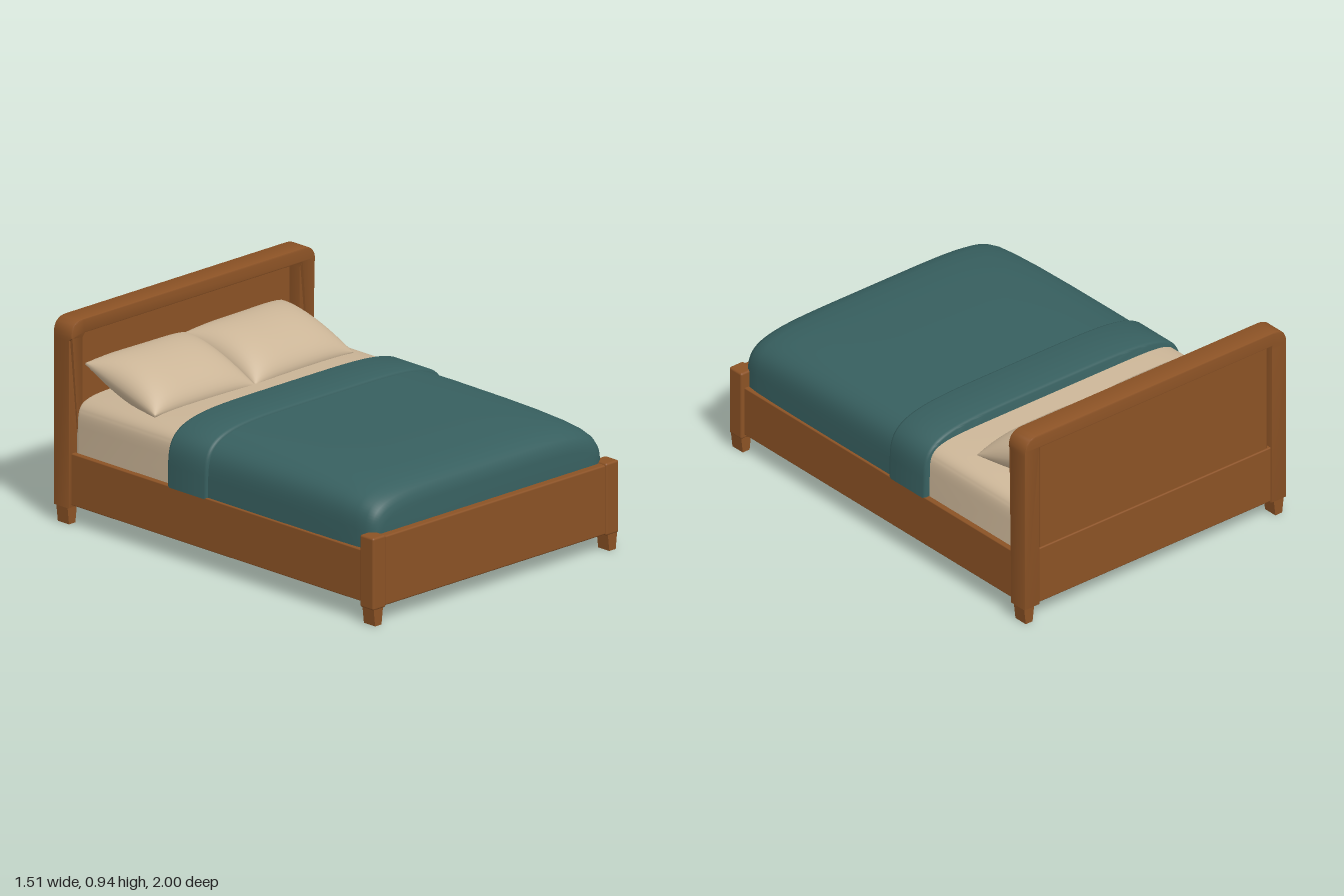
import * as THREE from 'three';
import { toCreasedNormals, mergeVertices } from 'three/addons/utils/BufferGeometryUtils.js';
import { RoundedBoxGeometry } from 'three/addons/geometries/RoundedBoxGeometry.js';

const material = (name, color) => Object.assign(new THREE.MeshStandardMaterial({ color }), { name });

// Rounded block given by its extents on each axis
function block(x0, x1, y0, y1, z0, z1, r = 0.008) {
  return new RoundedBoxGeometry(x1 - x0, y1 - y0, z1 - z0, 2, r)
    .translate((x0 + x1) / 2, (y0 + y1) / 2, (z0 + z1) / 2);
}

// Soft slab: superellipse arches lofted along z; stations are [z, half width, top]
function softSlab(stations, y0, n) {
  const N = 48, pos = [], index = [];
  for (const [z, w, top] of stations) {
    for (let j = 0; j <= N; j++) {
      const t = (j / N) * Math.PI, c = Math.cos(t), s = Math.max(0, Math.sin(t));
      pos.push(w * Math.sign(c) * Math.abs(c) ** (2 / n), y0 + (top - y0) * s ** (2 / n), z);
    }
  }
  const M = N + 1, last = (stations.length - 1) * M;
  for (let i = 0; i < stations.length - 1; i++) {
    for (let j = 0; j < M; j++) {
      const a = i * M + j, b = i * M + ((j + 1) % M);
      index.push(a, b, a + M, b, b + M, a + M);
    }
  }
  for (let j = 1; j < N; j++) index.push(0, j + 1, j, last, last + j, last + j + 1);
  const g = new THREE.BufferGeometry();
  g.setAttribute('position', new THREE.Float32BufferAttribute(pos, 3));
  g.setIndex(index);
  return toCreasedNormals(g, 0.9);
}

// Puffed cushion with thin edges and slightly pulled corners
function cushion(width, thick, depth) {
  let g = new THREE.BoxGeometry(2, 2, 2, 28, 1, 24);
  const p = g.attributes.position;
  for (let i = 0; i < p.count; i++) {
    const u = Math.sin(p.getX(i) * Math.PI / 2), v = Math.sin(p.getZ(i) * Math.PI / 2);
    const puff = (Math.max(0, 1 - u ** 4) * Math.max(0, 1 - v * v)) ** 0.55;
    p.setXYZ(i,
      u * width / 2 * (1 - 0.03 * (1 - v * v)),
      p.getY(i) * (0.004 + thick / 2 * puff),
      v * depth / 2 * (1 - 0.03 * (1 - u * u)));
  }
  g.deleteAttribute('normal');
  g.deleteAttribute('uv');
  g = mergeVertices(g);
  g.computeVertexNormals();
  return g;
}

// Square foot narrowing toward the floor
function taperedFoot(x, z) {
  const g = new THREE.BoxGeometry(0.06, 0.09, 0.07);
  const p = g.attributes.position;
  for (let i = 0; i < p.count; i++) {
    if (p.getY(i) < 0) p.setX(i, p.getX(i) * 0.65);
  }
  g.translate(x, 0.045, z);
  g.computeVertexNormals();
  return g;
}

// Arched headboard frame whose top rail flares a little forward
function headFrame() {
  const b = 0.006, X = 0.75 - b, Y = 0.945 - b, r = 0.07, ix = 0.664 + b, iy = 0.878 + b;
  const s = new THREE.Shape();
  s.moveTo(-X, 0.08 + b);
  s.lineTo(-ix, 0.08 + b);
  s.lineTo(-ix, 0.855);
  s.lineTo(-ix, iy);
  s.lineTo(ix, iy);
  s.lineTo(ix, 0.855);
  s.lineTo(ix, 0.08 + b);
  s.lineTo(X, 0.08 + b);
  s.lineTo(X, 0.855);
  s.lineTo(X, Y - r);
  s.quadraticCurveTo(X, Y, X - r, Y);
  s.lineTo(-X + r, Y);
  s.quadraticCurveTo(-X, Y, -X, Y - r);
  s.lineTo(-X, 0.855);
  s.closePath();
  const g = new THREE.ExtrudeGeometry(s, {
    depth: 0.1 - 2 * b, bevelEnabled: true, bevelSize: b, bevelThickness: b, bevelSegments: 2, curveSegments: 8,
  });
  g.translate(0, 0, -1 + b);
  const p = g.attributes.position;
  for (let i = 0; i < p.count; i++) {
    if (p.getZ(i) > -0.95 && p.getY(i) > 0.865) p.setZ(i, p.getZ(i) + 0.014);
  }
  return toCreasedNormals(g, 0.6);
}

export function createModel() {
  const wood = material('wood', 0x8b5225);
  const linen = material('linen', 0xcbb597);
  const teal = material('teal blanket', 0x375f5f);
  const bed = new THREE.Group();
  bed.name = 'bed';
  const add = (name, geometry, mat) => {
    const m = new THREE.Mesh(geometry, mat);
    m.name = name;
    bed.add(m);
    return m;
  };

  // Headboard
  add('headboardFrame', headFrame(), wood);
  add('headboardPanel', block(-0.65, 0.65, 0.34, 0.885, -0.985, -0.945, 0.004), wood);
  add('headboardLowerPanel', block(-0.675, 0.675, 0.085, 0.36, -0.992, -0.92, 0.006), wood);

  // Footboard
  add('footboardPanel', block(-0.69, 0.69, 0.08, 0.402, 0.925, 0.993), wood);

  // Bed base with raised side rails
  add('base', block(-0.73, 0.73, 0.095, 0.315, -0.93, 0.94, 0.004), wood);
  for (const side of [1, -1]) {
    const tag = side > 0 ? 'left' : 'right';
    const rail = side * 0.722, post = side * 0.715;
    add(tag + 'SideRail', block(rail - 0.014, rail + 0.014, 0.093, 0.332, -0.91, 0.93, 0.005), wood);
    add(tag + 'FootPost', block(post - 0.04, post + 0.04, 0.075, 0.41, 0.915, 1, 0.01), wood);
    add(tag + 'FrontFoot', taperedFoot(side * 0.719, 0.96), wood);
    add(tag + 'BackFoot', taperedFoot(side * 0.715, -0.952), wood);
  }

  // Bedding
  add('mattress', softSlab([
    [-0.905, 0.69, 0.56], [-0.9, 0.702, 0.578], [-0.88, 0.708, 0.584], [-0.1, 0.708, 0.584],
  ], 0.3, 9), linen);
  add('blanket', softSlab([
    [-0.25, 0.725, 0.624], [0.1, 0.725, 0.625], [0.4, 0.725, 0.622], [0.6, 0.724, 0.617],
    [0.75, 0.722, 0.608], [0.85, 0.719, 0.596], [0.905, 0.713, 0.58], [0.935, 0.702, 0.56],
    [0.95, 0.685, 0.535], [0.957, 0.66, 0.5],
  ], 0.32, 5), teal);
  add('blanketFold', softSlab([
    [-0.305, 0.728, 0.626], [-0.301, 0.734, 0.633], [-0.29, 0.737, 0.637],
    [-0.075, 0.737, 0.637], [-0.064, 0.734, 0.633], [-0.06, 0.726, 0.625],
  ], 0.325, 5), teal);

  // Pillows leaning on the headboard
  for (const side of [1, -1]) {
    const pillow = add(side > 0 ? 'leftPillow' : 'rightPillow', cushion(0.61, 0.2, 0.46), linen);
    pillow.position.set(side * 0.301 - 0.02, 0.645, -0.705);
    pillow.rotation.set(0.3, side * 0.015, 0);
  }
  return bed;
}
